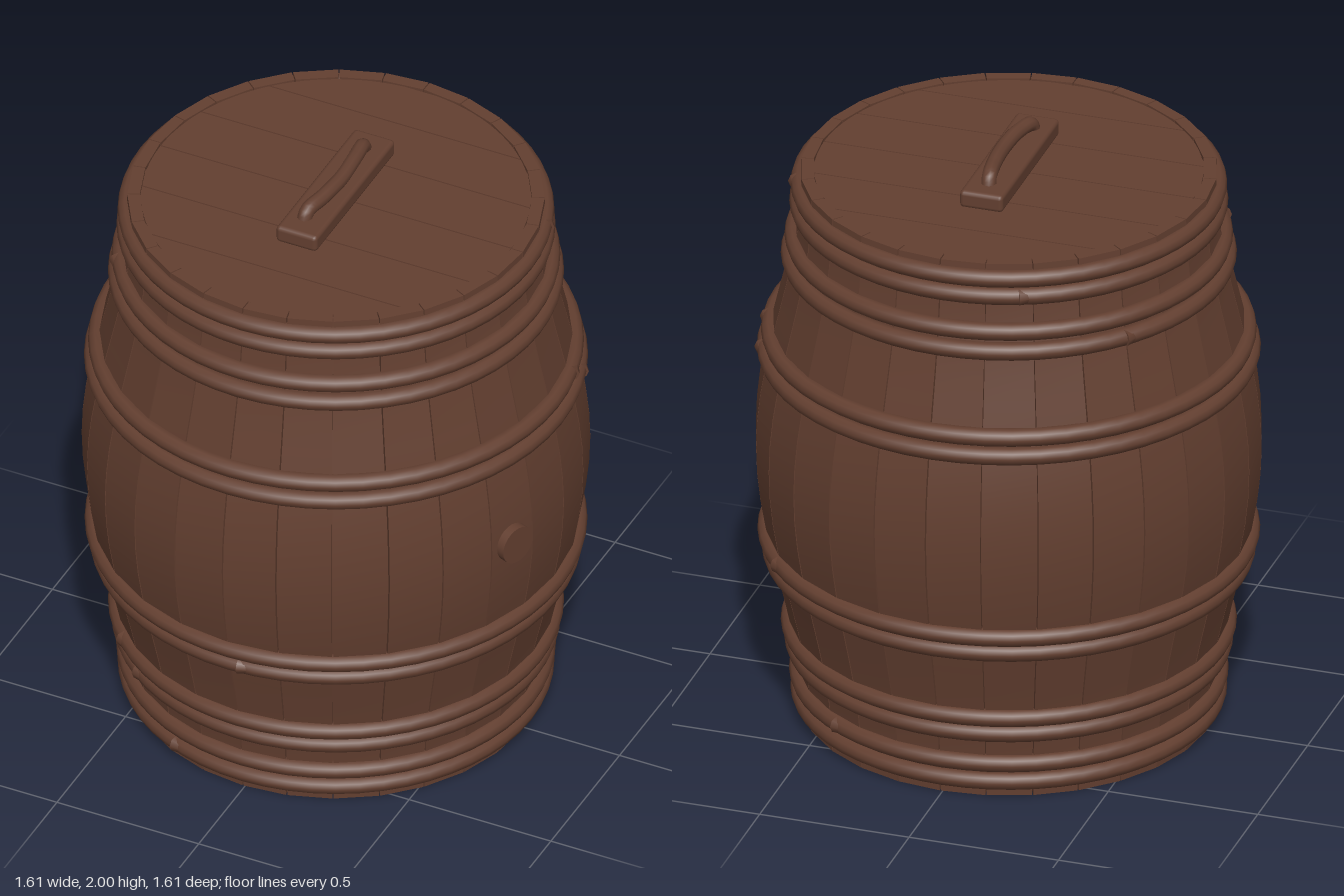
import * as THREE from 'three';
import { RoundedBoxGeometry } from 'three/addons/geometries/RoundedBoxGeometry.js';

const HEIGHT = 1.9, STAVES = 28;

// Bulging barrel radius at a given height
const radiusAt = (y) => 0.735 + 0.0725 * Math.cos(Math.PI * (y / HEIGHT * 2 - 1));

export function createModel() {
  const wood = new THREE.MeshStandardMaterial({ color: 0x633f30 });
  wood.name = 'brown wood';
  const barrel = new THREE.Group();
  barrel.name = 'barrel';

  const add = (name, geometry, parent = barrel) => {
    const mesh = new THREE.Mesh(geometry, wood);
    mesh.name = name;
    parent.add(mesh);
    return mesh;
  };
  const group = (name) => {
    const g = new THREE.Group();
    g.name = name;
    barrel.add(g);
    return g;
  };

  // Staves: boxes bent along the barrel profile, with narrow gaps between
  const staves = group('staves');
  const step = 2 * Math.PI / STAVES, gap = 0.006;
  for (let i = 0; i < STAVES; i++) {
    const geo = new THREE.BoxGeometry(step - gap, HEIGHT, 0.04, 1, 20, 1);
    const p = geo.attributes.position;
    for (let k = 0; k < p.count; k++) {
      const y = p.getY(k) + HEIGHT / 2;
      const a = p.getX(k) + (i + 0.5) * step - 0.012;
      const r = radiusAt(y) + p.getZ(k) - 0.02;
      p.setXYZ(k, r * Math.sin(a), y, r * Math.cos(a));
    }
    geo.computeVertexNormals();
    add('stave', geo, staves);
  }

  // Inner shell closing the gaps
  const profile = [];
  for (let i = 0; i <= 20; i++) {
    const y = 0.01 + 1.88 * i / 20;
    profile.push(new THREE.Vector2(radiusAt(y) - 0.025, y));
  }
  add('innerShell', new THREE.LatheGeometry(profile, 56));

  // Plank discs: circle slices extruded, one for each end
  const joints = [-0.618, -0.432, -0.216, 0, 0.216, 0.432, 0.618];
  const plankDisc = (name, y) => {
    const disc = group(name), R = 0.618;
    for (let i = 0; i < joints.length - 1; i++) {
      const a0 = Math.asin((joints[i] + 0.0025) / R);
      const a1 = Math.asin((joints[i + 1] - 0.0025) / R);
      const pts = [];
      for (let k = 0; k <= 12; k++) {
        const a = a0 + (a1 - a0) * k / 12;
        pts.push(new THREE.Vector2(R * Math.cos(a), R * Math.sin(a)));
      }
      const left = pts.map((v) => new THREE.Vector2(-v.x, v.y)).reverse();
      const geo = new THREE.ExtrudeGeometry(new THREE.Shape([...pts, ...left]), { depth: 0.04, bevelEnabled: false });
      geo.rotateX(-Math.PI / 2);
      add('plank', geo, disc).position.y = y;
    }
    const backing = add('backing', new THREE.CylinderGeometry(0.625, 0.625, 0.02, 56), disc);
    backing.position.y = y + 0.02;
  };
  plankDisc('lid', 1.855);
  plankDisc('bottom', 0.005);

  // Hoops: [height, angle of the tapered overlap], angle measured from the front
  const hoops = [
    [0.055, -0.33], [0.12, 2.6], [0.235, -0.6], [0.295, -0.75],
    [0.56, 0.1], [0.62, 2.3], [1.27, 1.97], [1.33, 1.85],
    [1.605, -2.2], [1.67, -1.0], [1.79, -2.7], [1.85, 1.95],
  ];
  const hoopGroup = group('hoops');
  for (const [y, angle] of hoops) {
    const r = radiusAt(y);
    const ring = new THREE.TorusGeometry(r, 0.03, 10, 56);
    ring.rotateX(Math.PI / 2);
    add('hoop', ring, hoopGroup).position.y = y;

    const tip = new THREE.CylinderGeometry(0.006, 0.028, 0.1, 8);
    tip.rotateZ(-Math.PI / 2);
    const end = add('hoopEnd', tip, hoopGroup);
    end.position.set((r + 0.008) * Math.sin(angle), y, (r + 0.008) * Math.cos(angle));
    end.rotation.y = angle;
  }

  // Bung on the side
  const bung = new THREE.CylinderGeometry(0.065, 0.065, 0.07, 24);
  bung.rotateZ(-Math.PI / 2);
  const plug = add('bung', bung);
  plug.position.set(0.747, 0.96, 0.273);
  plug.rotation.y = -0.35;

  // Lid handle: base plate and a slightly bent bar
  add('handlePlate', new RoundedBoxGeometry(0.145, 0.06, 0.58, 2, 0.015)).position.set(-0.002, 1.92, 0);
  const path = new THREE.CatmullRomCurve3([
    [-0.003, 1.93, -0.212], [0, 1.966, -0.195], [0.01, 1.975, -0.12], [0.017, 1.974, 0],
    [0.008, 1.975, 0.11], [-0.01, 1.966, 0.19], [-0.012, 1.93, 0.208],
  ].map((v) => new THREE.Vector3(...v)));
  add('handleBar', new THREE.TubeGeometry(path, 40, 0.025, 10));

  return barrel;
}
